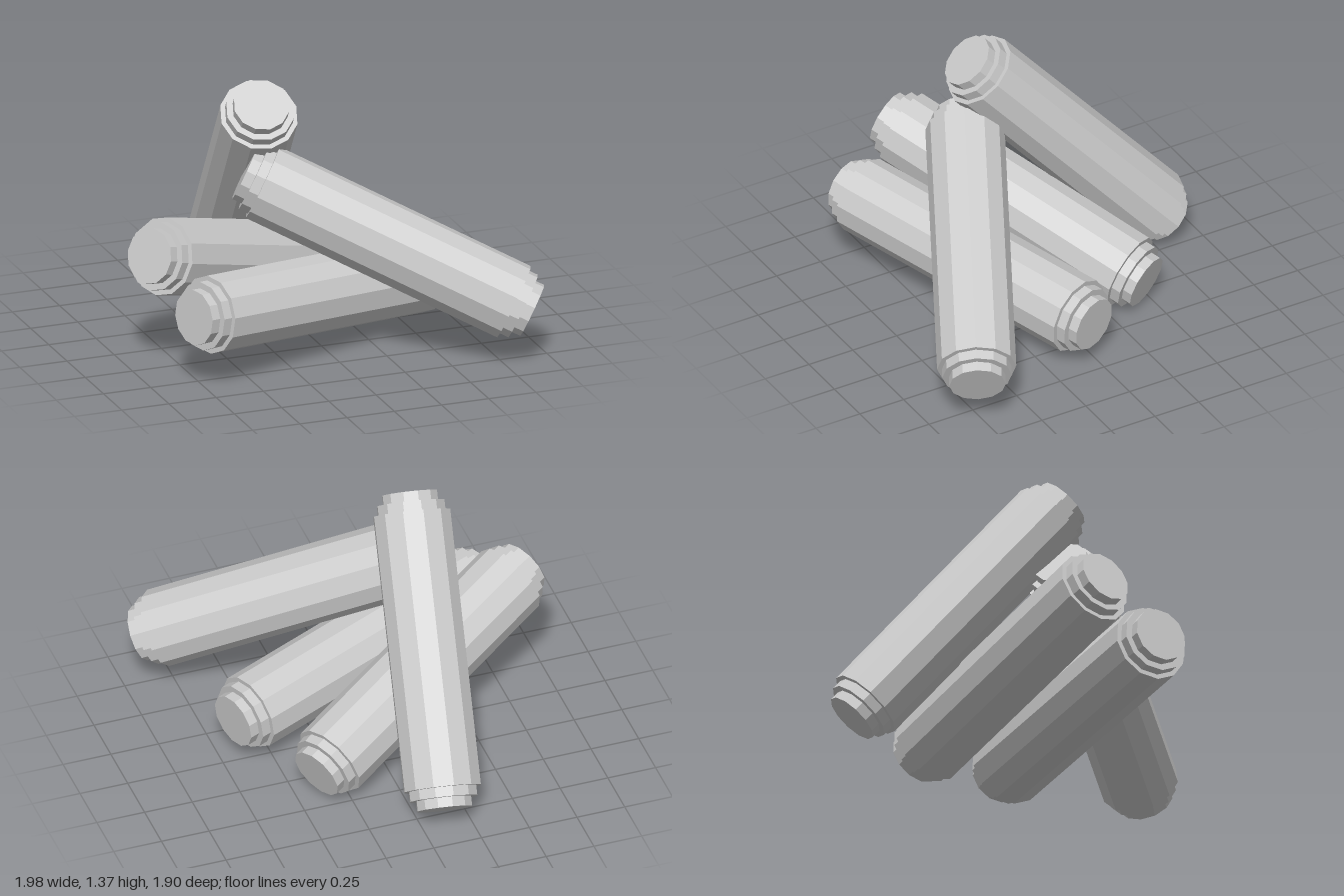
import * as THREE from 'three';

const material = new THREE.MeshStandardMaterial({ color: 0xcccccc, flatShading: true });

// Twelve-sided log with two stepped collars at each end
function logGeometry(length) {
  const h = length / 2, step = 0.05;
  const half = [[0, h], [0.14, h], [0.14, h - step], [0.172, h - step],
    [0.172, h - 2 * step], [0.196, h - 2 * step]];
  const lower = half.map(([r, y]) => new THREE.Vector2(r, -y));
  const upper = half.map(([r, y]) => new THREE.Vector2(r, y)).reverse();
  return new THREE.LatheGeometry([...lower, ...upper], 12);
}

// Lays a log between the centres of its two end faces
function makeLog(name, from, to) {
  const a = new THREE.Vector3(...from), b = new THREE.Vector3(...to);
  const axis = b.clone().sub(a);
  const mesh = new THREE.Mesh(logGeometry(axis.length()), material);
  mesh.name = name;
  mesh.position.copy(a).add(b).multiplyScalar(0.5);
  mesh.quaternion.setFromUnitVectors(new THREE.Vector3(0, 1, 0), axis.normalize());
  return mesh;
}

export function createModel() {
  const group = new THREE.Group();
  group.name = 'logPile';
  group.add(
    makeLog('rearLeaningLog', [-0.11, 0.12, -0.85], [-0.29, 1.295, 0.18]),
    makeLog('backCrossLog', [0.415, 0.173, -0.435], [-0.92, 0.617, 0.275]),
    makeLog('frontCrossLog', [0.69, 0.24, 0.023], [-0.80, 0.38, 0.575]),
    makeLog('frontLeaningLog', [0.9, 0.273, 0.81], [-0.37, 0.935, 0.15]),
  );
  return group;
}
